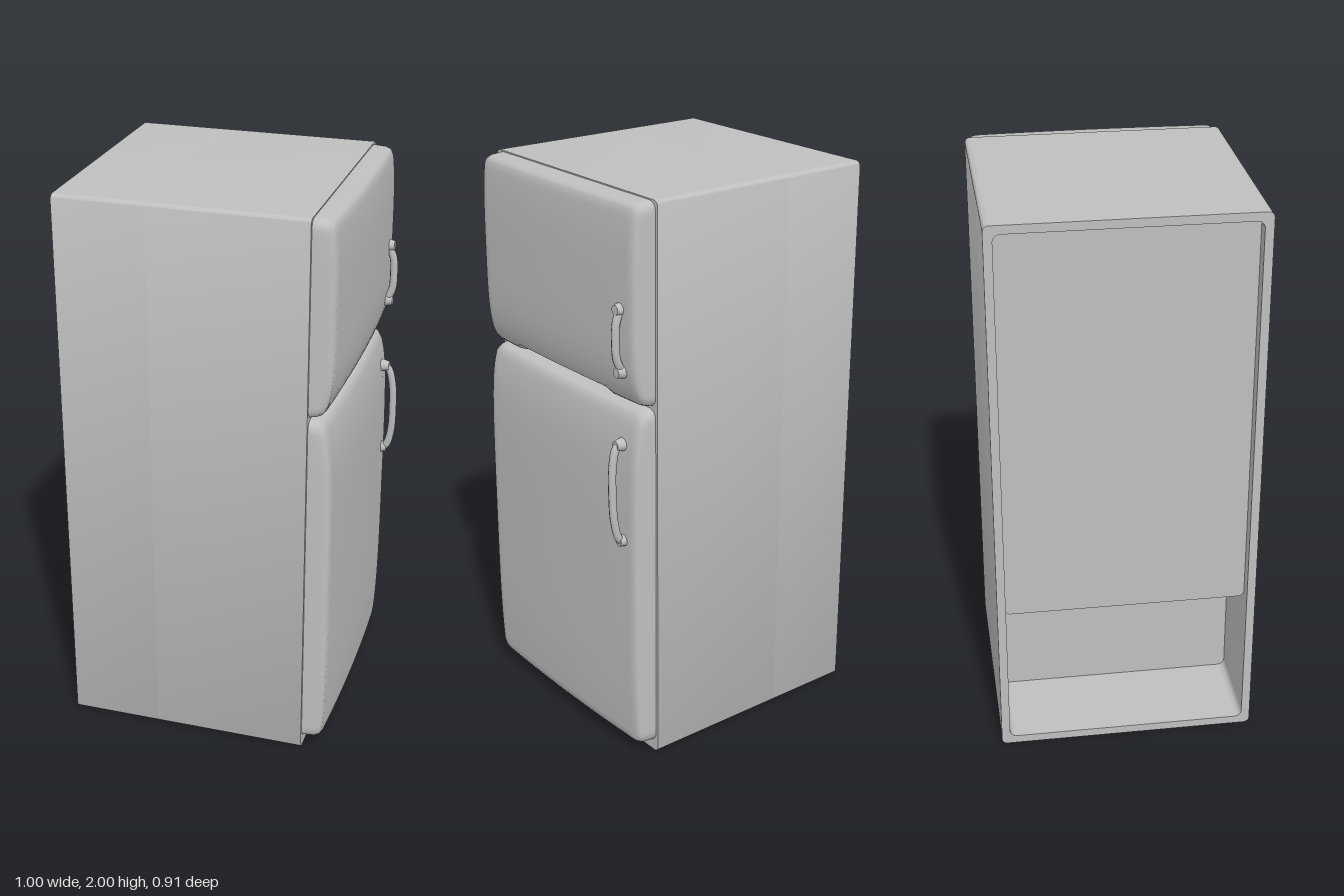
import * as THREE from 'three';
import { toCreasedNormals } from 'three/addons/utils/BufferGeometryUtils.js';

// Rounded rectangle, counter-clockwise
function roundedRect(x0, y0, x1, y1, r, Type = THREE.Shape) {
  const s = new Type();
  s.moveTo(x0 + r, y0);
  s.lineTo(x1 - r, y0);
  s.absarc(x1 - r, y0 + r, r, -Math.PI / 2, 0);
  s.lineTo(x1, y1 - r);
  s.absarc(x1 - r, y1 - r, r, 0, Math.PI / 2);
  s.lineTo(x0 + r, y1);
  s.absarc(x0 + r, y1 - r, r, Math.PI / 2, Math.PI);
  s.lineTo(x0, y0 + r);
  s.absarc(x0 + r, y0 + r, r, Math.PI, Math.PI * 1.5);
  return s;
}

// Extrude a shape along +x between two x positions
function slab(shape, xa, xb) {
  const g = new THREE.ExtrudeGeometry(shape, { depth: xb - xa, bevelEnabled: false, curveSegments: 5 });
  g.rotateY(Math.PI / 2);
  g.translate(xa, 0, 0);
  return toCreasedNormals(g, 0.7);
}

// Domed door: rounded outlines shrinking towards the middle of a bulged face
function doorGeometry(y0, y1, jointY, scoopY) {
  const hw = 0.447, hh = (y1 - y0) / 2, cy = (y0 + y1) / 2, N = 200;
  const outline = roundedRect(-hw, -hh, hw, hh, 0.03).getSpacedPoints(N).slice(0, N);
  const dome = (y, z) => {
    const v = Math.abs((y - cy) / hh), u = z / hw;
    return 0.457 - 0.012 * u * u - 0.015 * v ** 4 - 0.03 * Math.exp(-Math.abs(y - jointY) / 0.06);
  };
  // [inset, depth behind the dome]; the first ring lies against the cabinet
  const rings = [[0, null], [0.003, 0.022], [0.009, 0.006], [0.02, 0], [0.045, 0]];
  const scales = [0.8, 0.65, 0.5, 0.3, 0.1, 0];
  const pos = [], idx = [];
  const addRing = (sx, sy, back) => {
    for (const p of outline) {
      const z = -p.x * sx;
      let y = cy + p.y * sy;
      if (scoopY && Math.abs(z) < 0.275) y = Math.max(y, scoopY);
      pos.push(back === null ? 0.36 : dome(y, z) - back, y, z);
    }
  };
  rings.forEach(([i, b]) => addRing(1 - i / hw, 1 - i / hh, b));
  scales.forEach(s => addRing(s, s, 0));
  for (let r = 0; r < rings.length + scales.length - 1; r++) {
    for (let j = 0; j < N; j++) {
      const k = (j + 1) % N, a = r * N, b = a + N;
      idx.push(a + j, a + k, b + j, a + k, b + k, b + j);
    }
  }
  const g = new THREE.BufferGeometry();
  g.setAttribute('position', new THREE.Float32BufferAttribute(pos, 3));
  g.setIndex(idx);
  return toCreasedNormals(g, 0.8);
}

export function createModel() {
  const group = new THREE.Group();
  const enamel = new THREE.MeshStandardMaterial({ color: 0xbfbfbf });
  enamel.name = 'greyEnamel';
  const add = (name, geometry, parent = group) => {
    const m = new THREE.Mesh(geometry, enamel);
    m.name = name;
    parent.add(m);
    return m;
  };

  // Cabinet: solid front part and a hollow rear shell
  const W = 0.457, splitX = -0.18;
  add('cabinet', slab(roundedRect(-W, 0, W, 2, 0.02), splitX, 0.365));
  const rim = roundedRect(-W, 0, W, 2, 0.02);
  rim.holes.push(roundedRect(-W + 0.03, 0.03, W - 0.03, 1.97, 0.025, THREE.Path));
  add('rearShell', slab(rim, -0.5, splitX));

  // Recessed rear panel above the open motor bay
  add('rearPanel', slab(roundedRect(-W + 0.03, 0.53, W - 0.03, 1.97, 0.02), -0.45, splitX));

  // Doors, with a finger scoop under the upper one
  add('freezerDoor', doorGeometry(1.312, 1.996, 1.31, 1.345));
  add('mainDoor', doorGeometry(0.04, 1.304, 1.31, null));

  // Bowed handles with wider feet
  const handle = (name, yTop, yBottom, reach, zTop, zBottom) => {
    const h = new THREE.Group();
    h.name = name;
    const at = (t, x) => new THREE.Vector3(x,
      THREE.MathUtils.lerp(yBottom, yTop, t), THREE.MathUtils.lerp(zBottom, zTop, t));
    const path = new THREE.CatmullRomCurve3([
      at(0.04, 0.435), at(0.08, reach - 0.022), at(0.25, reach - 0.004), at(0.5, reach),
      at(0.75, reach - 0.004), at(0.92, reach - 0.022), at(0.96, 0.435)]);
    add('grip', new THREE.TubeGeometry(path, 28, 0.014, 8), h);
    for (const t of [0.06, 0.94]) {
      const foot = add('foot', new THREE.CylinderGeometry(0.017, 0.024, 0.03, 10), h);
      foot.rotation.z = -Math.PI / 2;
      foot.position.copy(at(t, 0.453));
    }
    group.add(h);
  };
  handle('freezerHandle', 1.66, 1.42, 0.468, -0.368, -0.372);
  handle('mainHandle', 1.2, 0.81, 0.486, -0.362, -0.376);

  return group;
}
